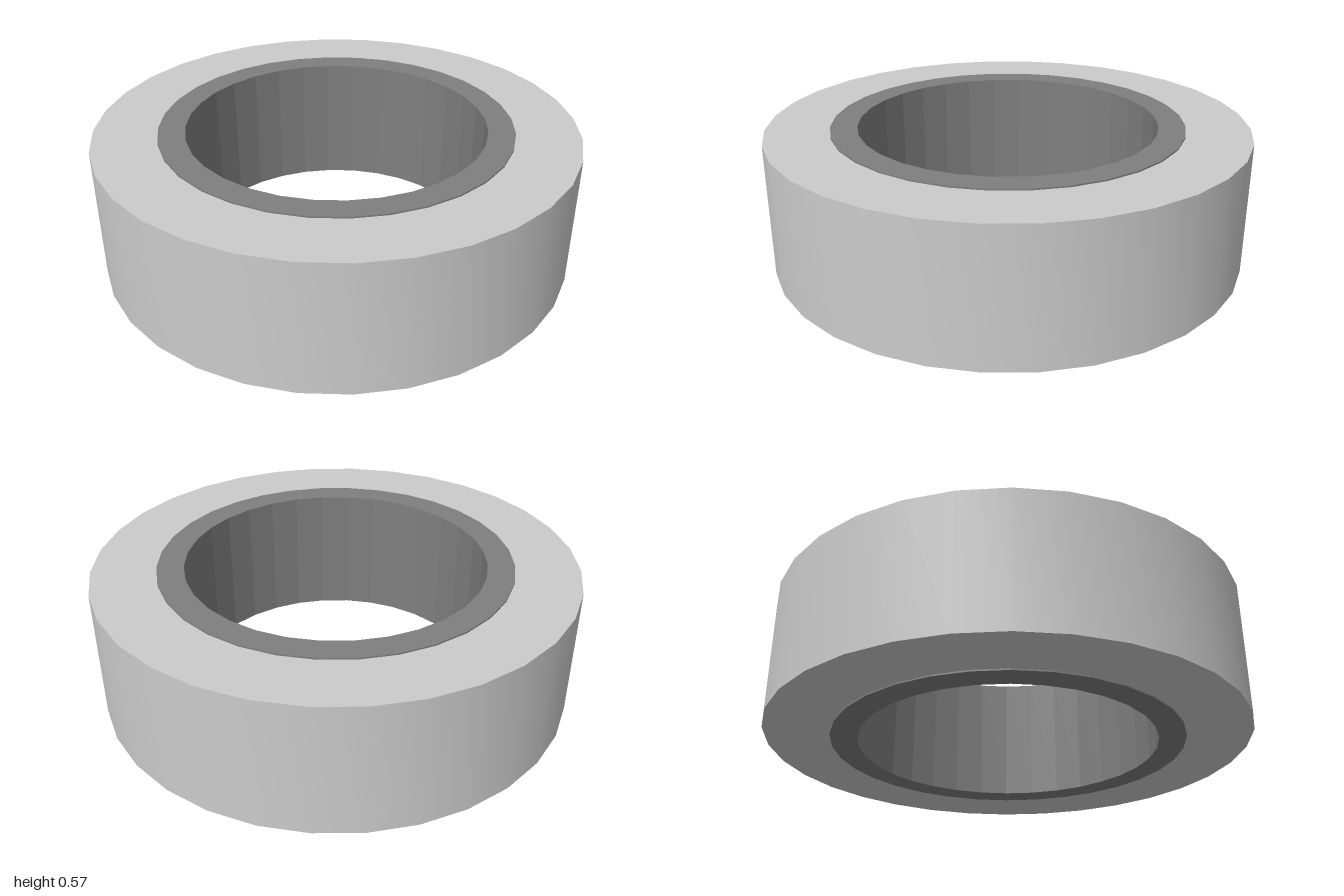
import * as THREE from 'three';
import { toCreasedNormals } from 'three/addons/utils/BufferGeometryUtils.js';

const SIDES = 32;

// Closed ring with a rectangular section, sharp rims and smooth walls
function ring(name, inner, outer, bottom, top, material) {
  const section = [
    [outer, bottom], [outer, top], [inner, top], [inner, bottom], [outer, bottom],
  ].map(([r, y]) => new THREE.Vector2(r, y));
  const geometry = toCreasedNormals(new THREE.LatheGeometry(section, SIDES), Math.PI / 6);
  const mesh = new THREE.Mesh(geometry, material);
  mesh.name = name;
  return mesh;
}

export function createModel() {
  const group = new THREE.Group();
  group.name = 'linedRing';

  const body = new THREE.MeshStandardMaterial({ color: 0xcccccc });
  const dark = new THREE.MeshStandardMaterial({ color: 0x7f7f7f, flatShading: true });

  // Thick outer band
  group.add(ring('outerRing', 0.735, 1, 0.006, 0.562, body));
  // Darker inner sleeve, standing slightly proud at both ends
  group.add(ring('innerSleeve', 0.624, 0.735, 0, 0.568, dark));

  return group;
}
